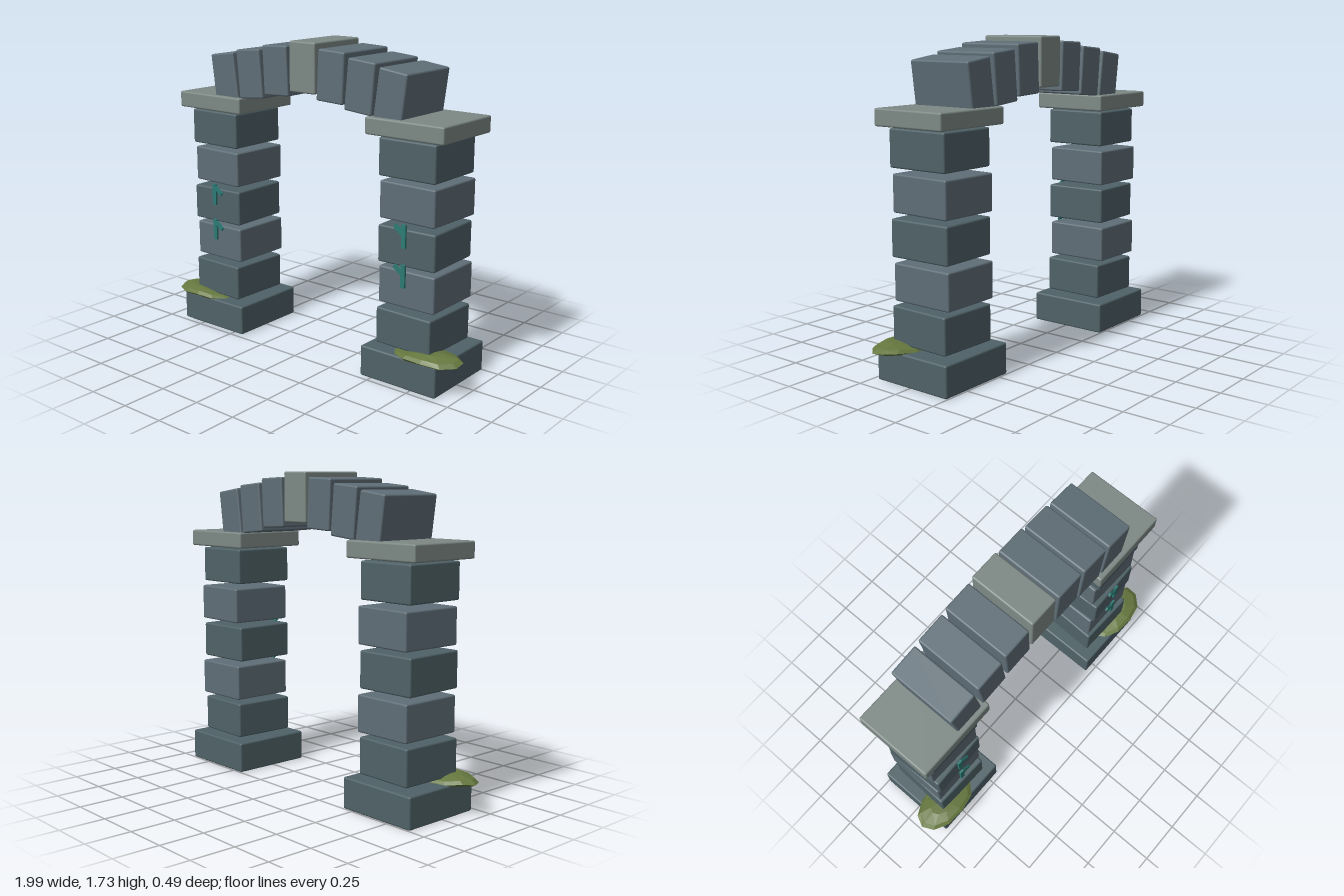
import * as THREE from 'three';
import { RoundedBoxGeometry } from 'three/addons/geometries/RoundedBoxGeometry.js';

const mat = (color, flatShading = false) => new THREE.MeshStandardMaterial({ color, flatShading });
const darkStone = mat(0x4f6268);
const midStone = mat(0x5f6e77);
const paleStone = mat(0x7d8985);
const mossGreen = mat(0x66783f, true);
const vineTeal = mat(0x2c7a74);

// Stone block with softly worn edges
function block(name, material, size, position) {
  const mesh = new THREE.Mesh(new RoundedBoxGeometry(...size, 2, 0.01), material);
  mesh.name = name;
  mesh.position.set(...position);
  return mesh;
}

// Flattened lumpy cushion, thicker on one side of the middle
function mossPatch(side) {
  const geo = new THREE.SphereGeometry(1, 11, 6);
  const p = geo.attributes.position;
  for (let i = 0; i < p.count; i++) {
    const x = p.getX(i), y = p.getY(i), z = p.getZ(i);
    const lump = 1 + 0.06 * Math.sin(5 * x + 2 * z) * Math.cos(4 * z);
    p.setXYZ(i, x * 0.2, y * 0.03 * lump + 0.008 * Math.sin(3 * x * side + 2 * z), z * 0.12 * lump);
  }
  geo.computeVertexNormals();
  const mesh = new THREE.Mesh(geo, mossGreen);
  mesh.name = 'mossPatch';
  mesh.position.set(0.8 * side, 0.175, 0.13);
  return mesh;
}

// Small vine sprig: upright stem with one slanted shoot
function vineSprig(side, y) {
  const sprig = new THREE.Group();
  sprig.name = 'vineSprig';
  const stem = new THREE.Mesh(new THREE.BoxGeometry(0.026, 0.122, 0.012), vineTeal);
  stem.name = 'vineStem';
  const shoot = new THREE.Mesh(new THREE.BoxGeometry(0.07, 0.022, 0.012), vineTeal);
  shoot.name = 'vineShoot';
  shoot.position.set(-0.028 * side, 0.028, 0);
  shoot.rotation.z = -0.65;
  sprig.add(stem, shoot);
  sprig.position.set(0.668 * side, y, 0.178);
  return sprig;
}

// Pier: plinth, five slightly twisted blocks, capital
function pier(side) {
  const g = new THREE.Group();
  g.name = side > 0 ? 'leftPier' : 'rightPier';
  const x = 0.668 * side;
  g.add(block('plinth', darkStone, [0.47, 0.17, 0.468], [x, 0.085, -0.014]));
  const twist = [-0.03, 0, 0.03, -0.03, 0];
  const shift = [-0.013, -0.03, -0.015, -0.029, -0.013];
  for (let i = 0; i < 5; i++) {
    const b = block('pierBlock', i % 2 ? midStone : darkStone,
      [0.342, 0.198, 0.364], [x, 0.286 + i * 0.226, shift[i]]);
    b.rotation.y = twist[i];
    g.add(b);
  }
  g.add(block('capital', paleStone, [0.47, 0.09, 0.44], [x, 1.345, -0.015]));
  g.add(mossPatch(side), vineSprig(side, 0.803), vineSprig(side, 0.592));
  return g;
}

export function createModel() {
  const model = new THREE.Group();
  model.name = 'stoneArch';
  model.add(pier(1), pier(-1));

  // Arch ring: keystone and three tilted wedge stones per side
  const arch = new THREE.Group();
  arch.name = 'archRing';
  arch.add(block('keystone', paleStone, [0.175, 0.27, 0.382], [0, 1.595, -0.012]));
  const stones = [[0.189, 1.563, 0.045], [0.378, 1.529, 0.09], [0.567, 1.494, 0.135]];
  for (const side of [1, -1]) {
    for (const [x, y, tilt] of stones) {
      const s = block('archStone', midStone, [0.172, 0.27, 0.382], [x * side, y, -0.012]);
      s.rotation.z = -tilt * side;
      arch.add(s);
    }
  }
  model.add(arch);
  return model;
}
